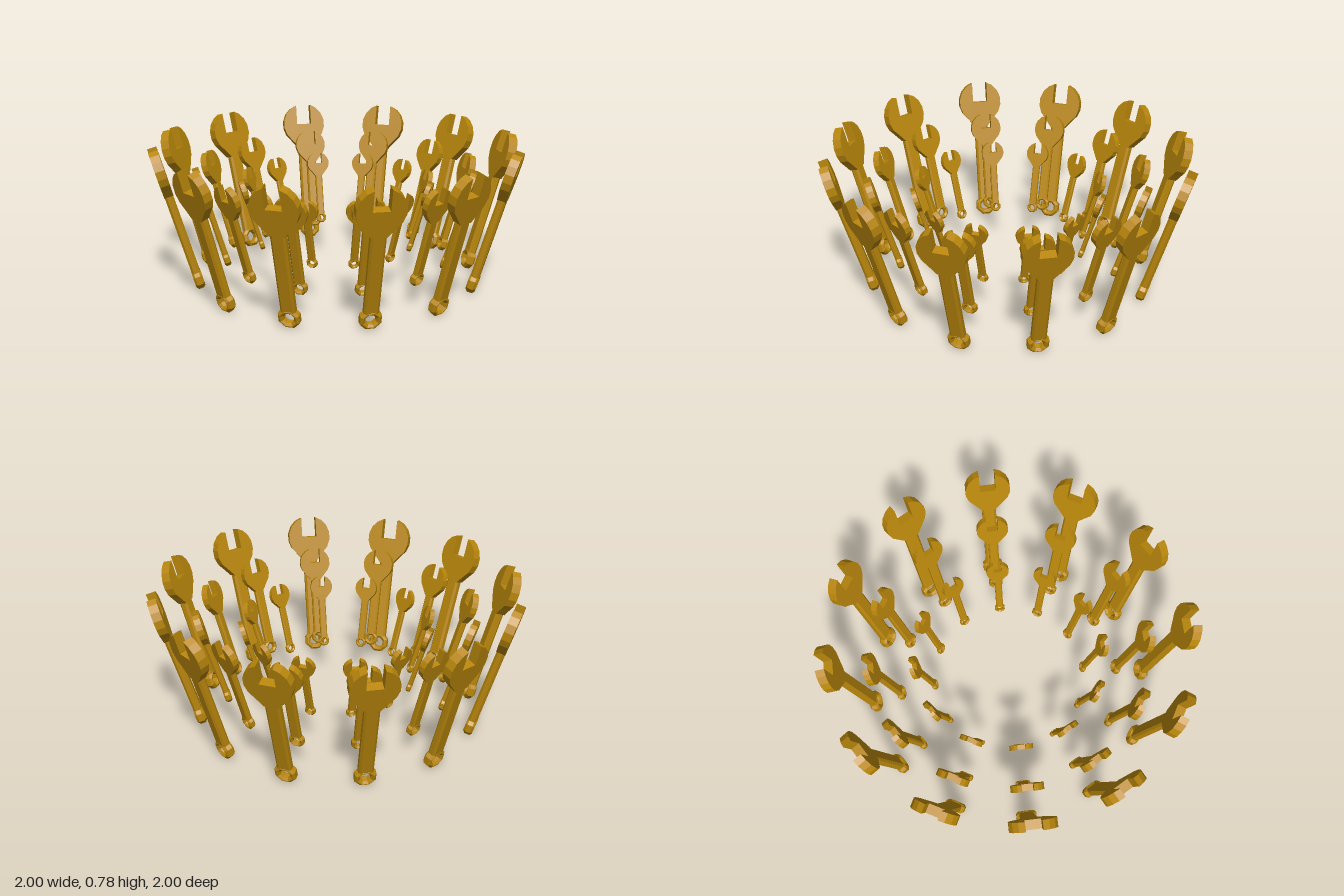
import * as THREE from 'three';

const LENGTH = 0.804, THICK = 0.05, TILT = 16.5 * Math.PI / 180, COUNT = 12;
const HEAD_Y = 0.689, HEAD_R = 0.124, SLOT = 0.043, RING_Y = 0.055;

const toShape = pts => new THREE.Shape(pts.map(p => new THREE.Vector2(...p)));

// open jaw: faceted disc with a slot cut to its centre and a tapered neck
function headGeometry() {
  const half = [[SLOT, 0], [SLOT, 0.115]];
  for (const deg of [52, 32, 11, -10, -31, -51]) {
    const a = deg * Math.PI / 180;
    half.push([HEAD_R * Math.cos(a), HEAD_R * Math.sin(a)]);
  }
  half.push([0.038, -0.145]);
  const mirrored = half.map(([x, y]) => [-x, y]).reverse();
  const geo = new THREE.ExtrudeGeometry(toShape([...half, ...mirrored]), { depth: THICK, bevelEnabled: false });
  return geo.translate(0, HEAD_Y, -THICK / 2);
}

// handle: bar with chamfered long edges
function shankGeometry() {
  const w = 0.039, d = 0.023, c = 0.011, y0 = 0.095, y1 = 0.6;
  const section = toShape([[w, -d + c], [w, d - c], [w - c, d], [-w + c, d],
    [-w, d - c], [-w, -d + c], [-w + c, -d], [w - c, -d]]);
  const geo = new THREE.ExtrudeGeometry(section, { depth: y1 - y0, bevelEnabled: false });
  return geo.rotateX(-Math.PI / 2).translate(0, y0, 0);
}

// closed end: bevelled octagon with a hole
function ringGeometry() {
  const octagon = r => Array.from({ length: 8 }, (_, i) => {
    const a = (i + 0.5) * Math.PI / 4;
    return [r * Math.cos(a), r * Math.sin(a)];
  });
  const bevel = 0.011;
  const shape = toShape(octagon(0.0595));
  shape.holes.push(new THREE.Path(octagon(0.03).reverse().map(p => new THREE.Vector2(...p))));
  const depth = THICK - 2 * bevel;
  const geo = new THREE.ExtrudeGeometry(shape, {
    depth, bevelThickness: bevel, bevelSize: bevel, bevelOffset: -bevel, bevelSegments: 1,
  });
  return geo.translate(0, RING_Y, -depth / 2);
}

export function createModel() {
  const model = new THREE.Group();
  model.name = 'wrenchRings';
  const material = new THREE.MeshStandardMaterial({ color: 0xb8860b, flatShading: true });
  const parts = { head: headGeometry(), shank: shankGeometry(), ringEnd: ringGeometry() };
  for (const geo of Object.values(parts)) geo.translate(0, -LENGTH / 2, 0);

  // three concentric rings of wrenches leaning outwards
  const rings = [
    { name: 'large', scale: 1, radius: 0.862 },
    { name: 'medium', scale: 0.7, radius: 0.677 },
    { name: 'small', scale: 0.5, radius: 0.464 },
  ];
  for (const { name, scale, radius } of rings) {
    const ring = new THREE.Group();
    ring.name = name + 'Ring';
    for (let i = 0; i < COUNT; i++) {
      const wrench = new THREE.Group();
      wrench.name = name + 'Wrench';
      for (const [part, geo] of Object.entries(parts)) {
        const mesh = new THREE.Mesh(geo, material);
        mesh.name = part;
        wrench.add(mesh);
      }
      const a = i / COUNT * Math.PI * 2;
      wrench.position.set(radius * Math.sin(a), 0.3925, radius * Math.cos(a));
      wrench.rotation.set(TILT, a, 0, 'YXZ');
      wrench.scale.setScalar(scale);
      ring.add(wrench);
    }
    model.add(ring);
  }
  return model;
}
